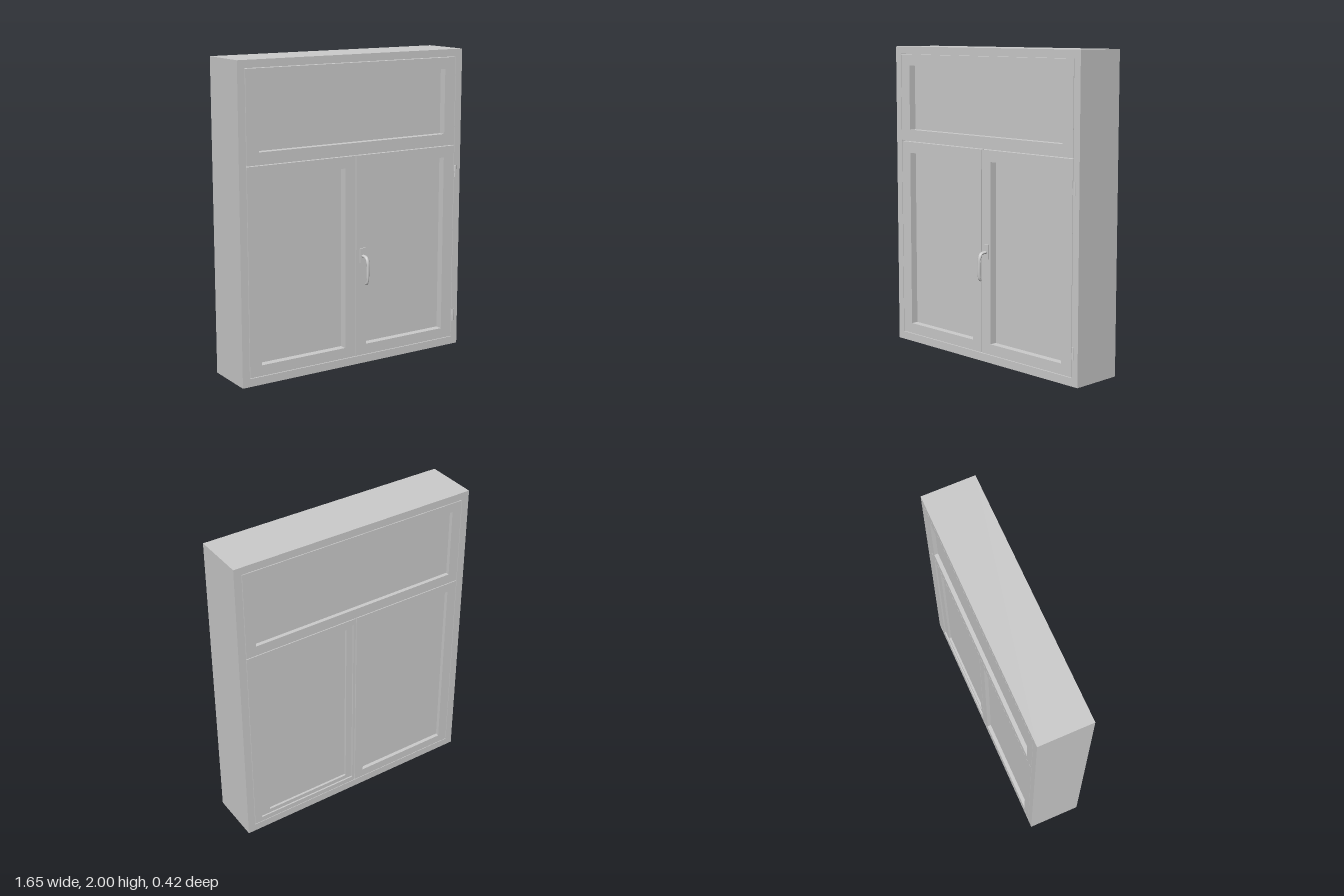
import * as THREE from 'three';

const FRONT = 0.136, BACK = -0.21;
const grey = new THREE.MeshStandardMaterial({ color: 0xcccccc });

export function createModel() {
  const model = new THREE.Group();
  model.name = 'window';

  const add = (name, geometry, parent = model) => {
    const mesh = new THREE.Mesh(geometry, grey);
    mesh.name = name;
    parent.add(mesh);
    return mesh;
  };

  // Rectangles are [x0, y0, x1, y1]
  const trace = (path, [x0, y0, x1, y1]) => {
    path.moveTo(x0, y0);
    path.lineTo(x1, y0);
    path.lineTo(x1, y1);
    path.lineTo(x0, y1);
    path.closePath();
    return path;
  };
  const ring = (outer, inner, z0, z1) => {
    const shape = trace(new THREE.Shape(), outer);
    shape.holes.push(trace(new THREE.Path(), inner));
    return new THREE.ExtrudeGeometry(shape, { depth: z1 - z0, bevelEnabled: false }).translate(0, 0, z0);
  };
  const box = (x0, y0, z0, x1, y1, z1) =>
    new THREE.BoxGeometry(x1 - x0, y1 - y0, z1 - z0)
      .translate((x0 + x1) / 2, (y0 + y1) / 2, (z0 + z1) / 2);

  // Fixed outer frame
  add('outerFrame', ring([-0.825, 0, 0.825, 2], [-0.776, 0.052, 0.776, 1.952], BACK, FRONT));

  // Panes, which also close the narrow gaps between the sashes
  add('panes', box(-0.79, 0.03, -0.185, 0.79, 1.97, 0.088));

  // Sashes: a front ring and a back ring with a slightly wider opening
  const sashes = [
    { name: 'topSash', outer: [-0.772, 1.373, 0.772, 1.948], inner: [-0.69, 1.45, 0.69, 1.875], back: [-0.706, 1.438, 0.706, 1.888] },
    { name: 'rightSash', outer: [-0.772, 0.056, -0.003, 1.368], inner: [-0.69, 0.125, -0.08, 1.295], back: [-0.706, 0.112, -0.066, 1.308] },
    { name: 'leftSash', outer: [0.003, 0.056, 0.772, 1.368], inner: [0.08, 0.125, 0.69, 1.295], back: [0.02, 0.09, 0.722, 1.328] },
  ];
  for (const { name, outer, inner, back } of sashes) {
    const sash = new THREE.Group();
    sash.name = name;
    model.add(sash);
    add('frontRing', ring(outer, inner, 0, FRONT), sash);
    add('backRing', ring(outer, back, BACK, 0), sash);
  }
  // Set-back inner border behind the opening sash
  add('innerBorder', ring([0.02, 0.09, 0.722, 1.328], [0.066, 0.118, 0.655, 1.302], -0.2, -0.15));

  // Handle: back plate and a curved lever, flattened and tapering downwards
  const handle = new THREE.Group();
  handle.name = 'handle';
  model.add(handle);
  add('plate', box(0.027, 0.675, FRONT - 0.005, 0.069, 0.77, 0.147), handle);
  const path = new THREE.CatmullRomCurve3([
    [0, 0.718, 0.135], [0, 0.719, 0.165], [0, 0.712, 0.188], [0, 0.69, 0.2],
    [-0.001, 0.64, 0.204], [-0.002, 0.58, 0.203], [-0.002, 0.555, 0.198], [-0.002, 0.545, 0.188],
  ].map(p => new THREE.Vector3(...p)));
  const lever = new THREE.TubeGeometry(path, 40, 0.009, 12);
  const pos = lever.attributes.position;
  for (let i = 0; i < pos.count; i++) {
    const t = THREE.MathUtils.clamp((pos.getY(i) - 0.54) / 0.18, 0, 1);
    pos.setX(i, pos.getX(i) * (0.9 + 0.5 * t) + 0.048);
  }
  lever.computeVertexNormals();
  add('lever', lever, handle);
  const tip = add('leverTip', new THREE.SphereGeometry(0.009, 12, 8), handle);
  tip.position.set(0.046, 0.545, 0.188);
  tip.scale.set(0.9, 0.7, 0.6);

  // Two hinges on the left edge: a barrel with a small leaf
  for (const y of [0.205, 1.195]) {
    const hinge = new THREE.Group();
    hinge.name = 'hinge';
    hinge.position.y = y;
    model.add(hinge);
    add('barrel', new THREE.CylinderGeometry(0.009, 0.009, 0.08, 16).translate(0.785, 0, 0.135), hinge);
    add('leaf', box(0.772, -0.038, 0.13, 0.785, 0.002, 0.139), hinge);
  }

  return model;
}
